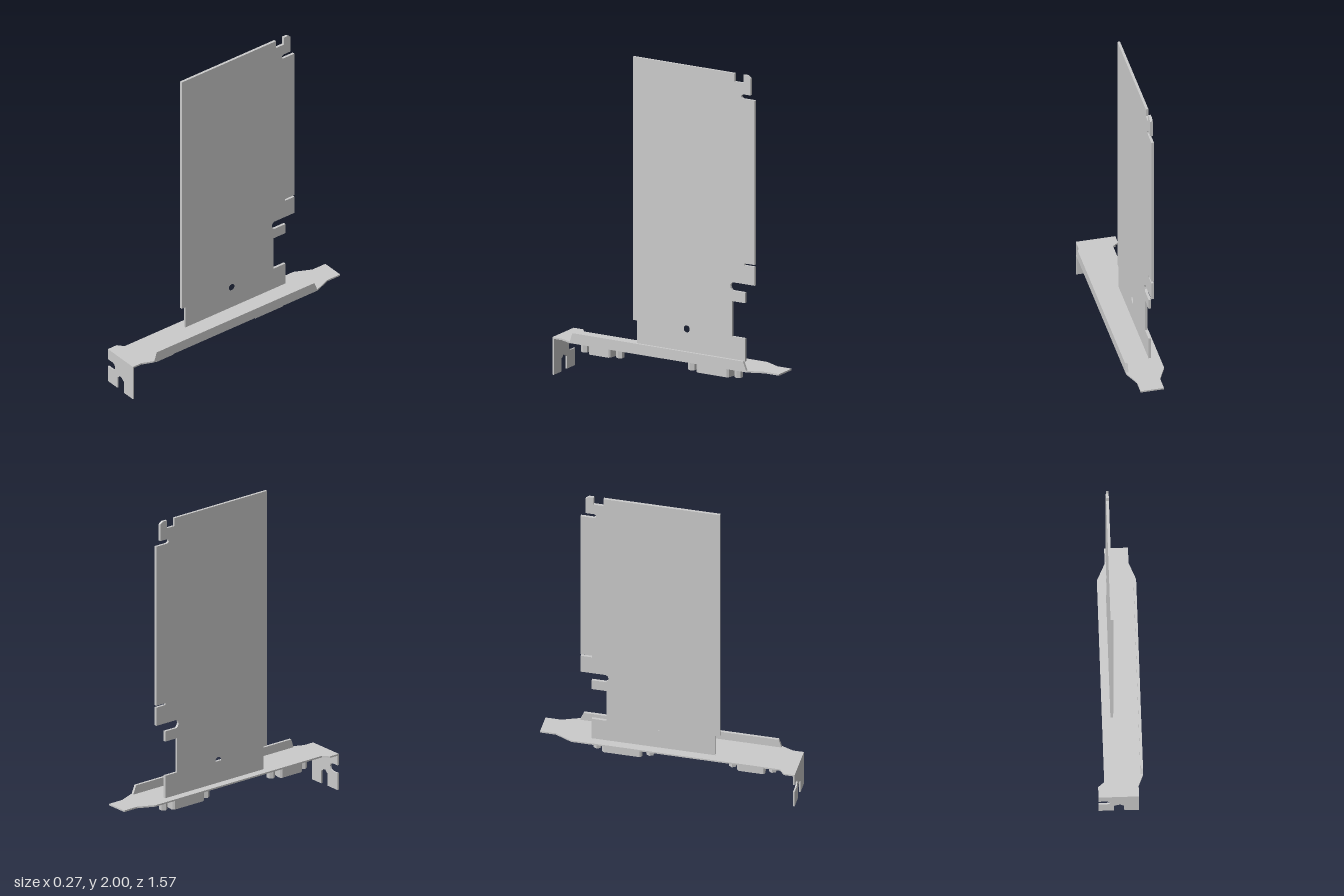
import * as THREE from 'three';

const material = new THREE.MeshStandardMaterial({ color: 0xcccccc, flatShading: true });

function shapeFrom(points) {
  return new THREE.Shape(points.map(([x, y]) => new THREE.Vector2(x, y)));
}

function extrude(shape, depth) {
  return new THREE.ExtrudeGeometry(shape, { depth, bevelEnabled: false, curveSegments: 12 });
}

function part(name, geometry) {
  const mesh = new THREE.Mesh(geometry, material);
  mesh.name = name;
  return mesh;
}

// Upright sheet: outline in (z, y), thickness along +x from x0
function sideSheet(name, points, x0, thickness, hole) {
  const shape = shapeFrom(points.map(([z, y]) => [-z, y]));
  if (hole) {
    const path = new THREE.Path();
    path.absarc(-hole.z, hole.y, hole.r, 0, Math.PI * 2, true);
    shape.holes.push(path);
  }
  return part(name, extrude(shape, thickness).rotateY(Math.PI / 2).translate(x0, 0, 0));
}

// Flat sheet: outline in (x, z), thickness downward from yTop
function flatSheet(name, points, yTop, thickness) {
  return part(name, extrude(shapeFrom(points), thickness).rotateX(Math.PI / 2).translate(0, yTop, 0));
}

export function createModel() {
  const group = new THREE.Group();
  group.name = 'expansionCard';

  // Circuit board with edge notches and one mounting hole
  group.add(sideSheet('circuitBoard', [
    [0.31, 2], [-0.4, 2], [-0.4, 1.95], [-0.46, 1.95], [-0.46, 2], [-0.49, 2], [-0.51, 1.985],
    [-0.51, 1.88], [-0.46, 1.88], [-0.448, 1.874], [-0.445, 1.865], [-0.448, 1.857], [-0.46, 1.852],
    [-0.54, 1.852], [-0.54, 0.838], [-0.47, 0.838], [-0.47, 0.826], [-0.54, 0.826], [-0.54, 0.71],
    [-0.385, 0.71], [-0.374, 0.7], [-0.369, 0.685], [-0.374, 0.67], [-0.385, 0.658],
    [-0.472, 0.658], [-0.472, 0.593], [-0.382, 0.593], [-0.382, 0.375], [-0.472, 0.375],
    [-0.472, 0.23], [0.282, 0.23], [0.282, 0.376], [0.31, 0.376],
  ], -0.049, 0.016, { z: -0.066, y: 0.375, r: 0.021 }));

  // Mounting bracket plate
  group.add(flatSheet('bracketPlate', [
    [-0.05, -0.787], [0.092, -0.787], [0.092, -0.69], [0.133, -0.587], [0.133, 0.65], [0.104, 0.72],
    [0.104, 0.787], [-0.137, 0.787], [-0.137, 0.72], [-0.1, 0.69], [-0.1, -0.585], [-0.05, -0.69],
  ], 0.232, 0.01));

  // Upturned stiffening flange along one edge of the bracket
  group.add(sideSheet('bracketFlange', [
    [0.65, 0.224], [0.63, 0.286], [-0.56, 0.286], [-0.585, 0.224],
  ], 0.117, 0.016));

  // Folded fixing tab with a side slot and a bottom slot
  const tab = extrude(shapeFrom([
    [-0.137, 0.232], [-0.137, 0.16], [-0.09, 0.16], [-0.073, 0.152], [-0.066, 0.135],
    [-0.073, 0.118], [-0.09, 0.11], [-0.137, 0.11], [-0.137, 0.003], [-0.045, 0.003],
    [-0.045, 0.08], [-0.033, 0.088], [-0.025, 0.098], [-0.005, 0.098], [0.004, 0.088],
    [0.016, 0.08], [0.016, 0], [0.104, 0], [0.104, 0.232],
  ]), 0.01);
  group.add(part('fixingTab', tab.translate(0, 0, 0.777)));

  // Two D-shaped connectors, each between a pair of hexagonal standoffs
  const connectors = [
    { name: 'smallConnector', from: 0.415, to: 0.582, nuts: [0.378, 0.622] },
    { name: 'largeConnector', from: -0.41, to: -0.17, nuts: [-0.448, -0.126] },
  ];
  for (const { name, from, to, nuts } of connectors) {
    const port = new THREE.Group();
    port.name = name;
    const t = 0.012;
    port.add(flatSheet('connectorShell', [
      [-0.042, from], [-0.034, from - 0.003], [0.036, from + t - 0.004], [0.045, from + t + 0.006],
      [0.045, to - t - 0.006], [0.036, to - t + 0.004], [-0.034, to + 0.003], [-0.042, to],
      [-0.05, to - 0.01], [-0.05, from + 0.01],
    ], 0.224, 0.082));
    for (const z of nuts) {
      const nut = part('hexStandoff', new THREE.CylinderGeometry(0.025, 0.025, 0.082, 6));
      nut.rotation.y = Math.PI / 2;
      nut.position.set(0, 0.183, z);
      port.add(nut);
    }
    group.add(port);
  }

  return group;
}
